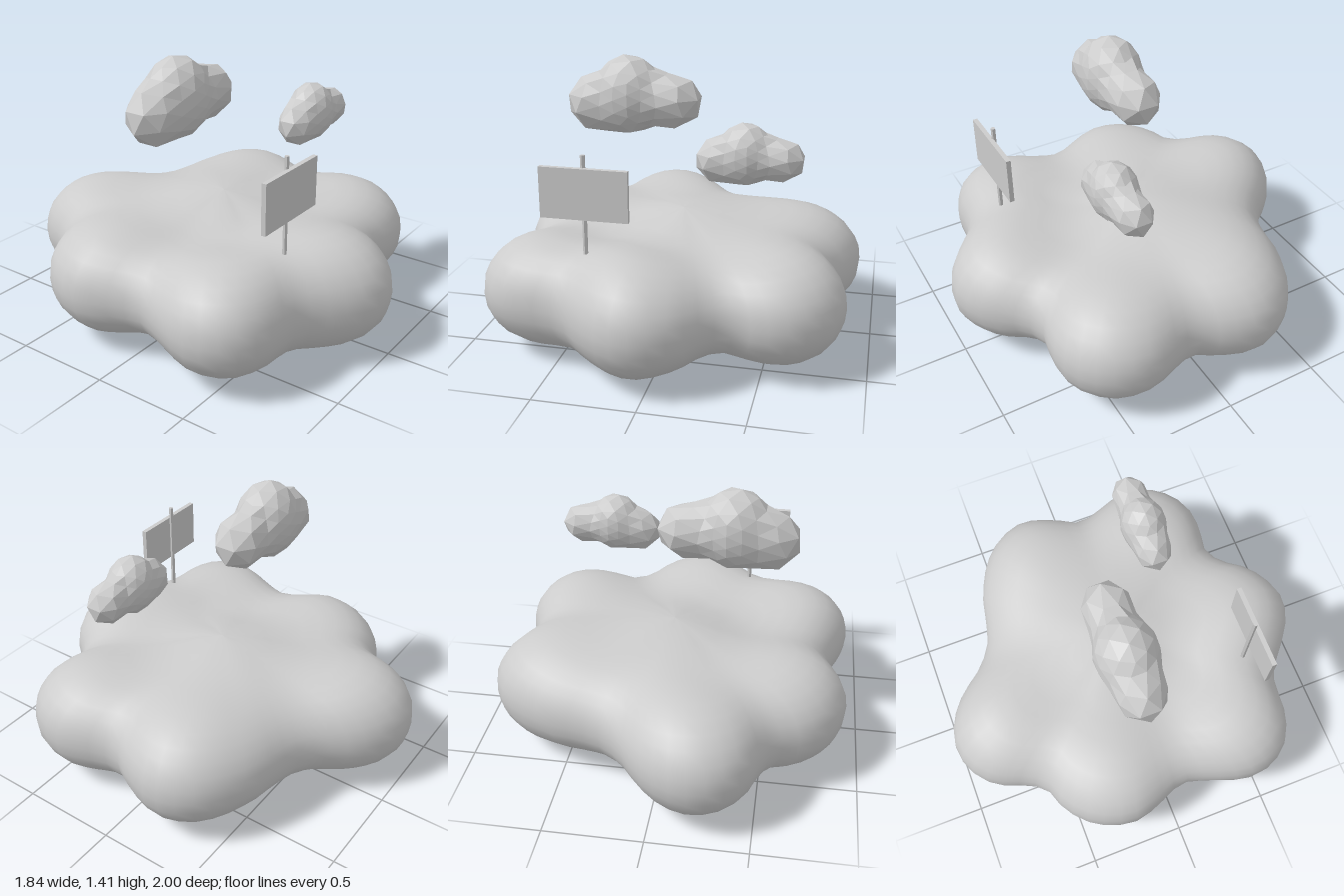
import * as THREE from 'three';

const grey = new THREE.MeshStandardMaterial({ color: 0xcccccc });
const facetedGrey = new THREE.MeshStandardMaterial({ color: 0xcccccc, flatShading: true });

// Plan outline of the cloud island: x, z pairs, from the back round by +x
const OUTLINE = [
  -0.2, -1, -0.08, -0.97, 0.05, -0.88, 0.17, -0.74, 0.28, -0.66, 0.43, -0.62,
  0.57, -0.59, 0.74, -0.51, 0.86, -0.4, 0.92, -0.24, 0.87, -0.05, 0.81, 0.07,
  0.82, 0.17, 0.87, 0.3, 0.885, 0.42, 0.84, 0.57, 0.74, 0.68, 0.62, 0.73,
  0.49, 0.73, 0.39, 0.71, 0.28, 0.77, 0.18, 0.89, 0.05, 0.975, -0.07, 1,
  -0.2, 0.96, -0.32, 0.87, -0.43, 0.78, -0.52, 0.75, -0.66, 0.74, -0.81, 0.68,
  -0.9, 0.56, -0.92, 0.42, -0.89, 0.31, -0.84, 0.17, -0.82, 0.07, -0.87, -0.06,
  -0.92, -0.23, -0.86, -0.43, -0.73, -0.56, -0.59, -0.62, -0.53, -0.71,
  -0.46, -0.87, -0.34, -0.97,
];

// Puffs that swell the island: x, z, strength (weak ones only fill hollows)
const PUFFS = [
  [-0.03, -0.03, 0.06], [-0.2, -0.72, 0.06], [-0.64, -0.24, 0.058], [-0.63, 0.44, 0.058],
  [-0.08, 0.68, 0.068], [0.59, 0.43, 0.06], [0.62, -0.25, 0.055],
  [0.2, -0.45, -0.05], [0.28, 0.1, -0.12],
];
const BLEND = 7.5;

// Squared half thickness of the blended puffs
function thickness2(x, z) {
  let sum = 0;
  for (const [px, pz, s] of PUFFS) sum += Math.exp(BLEND * (s - (x - px) ** 2 - (z - pz) ** 2));
  return Math.log(sum) / BLEND;
}

function islandGeometry(segments = 72, rings = 12) {
  const points = [];
  for (let i = 0; i < OUTLINE.length; i += 2) points.push(new THREE.Vector3(OUTLINE[i], 0, OUTLINE[i + 1]));
  const rim = new THREE.CatmullRomCurve3(points, true).getSpacedPoints(segments).slice(0, segments);

  // Radius at which the puffs run out in each direction
  const reach = rim.map((p) => {
    const d = p.clone().normalize();
    let r = 1.4;
    while (r > 0.2 && thickness2(d.x * r, d.z * r) < 0) r -= 0.002;
    return d.multiplyScalar(r);
  });

  const position = [];
  const index = [];
  const rows = rings * 2;
  for (let i = 0; i <= rows; i++) {
    const s = Math.sin((i / rows) * Math.PI);
    const side = Math.sign(rings - i);
    for (let j = 0; j < segments; j++) {
      const h = Math.sqrt(Math.max(0, thickness2(reach[j].x * s, reach[j].z * s)));
      position.push(rim[j].x * s, 0.31 + side * h, rim[j].z * s);
      if (i === rows) continue;
      const k = (j + 1) % segments;
      const a = i * segments + j, b = i * segments + k;
      const c = a + segments, d = b + segments;
      if (i > 0) index.push(a, b, c);
      if (i < rows - 1) index.push(b, d, c);
    }
  }
  const geometry = new THREE.BufferGeometry();
  geometry.setAttribute('position', new THREE.Float32BufferAttribute(position, 3));
  geometry.setIndex(index);
  geometry.computeVertexNormals();
  return geometry;
}

// Puffs of a floating cloud: x, y, then radii along x, y, z
const CLOUD_PUFFS = [
  [-0.03, 0.005, 0.175, 0.21, 0.16],
  [-0.2, -0.045, 0.162, 0.155, 0.13],
  [0.2, -0.02, 0.162, 0.145, 0.13],
];

function insideCloud(p) {
  let sum = 0;
  for (const [x, y, rx, ry, rz] of CLOUD_PUFFS) {
    sum += Math.exp(4 * (1 - ((p.x - x) / rx) ** 2 - ((p.y - y) / ry) ** 2 - (p.z / rz) ** 2));
  }
  return sum >= 1;
}

// Faceted ball whose corners are drawn in until they meet the blended puffs
function cloudGeometry() {
  const geometry = new THREE.IcosahedronGeometry(1, 2);
  const position = geometry.attributes.position;
  const dir = new THREE.Vector3();
  const p = new THREE.Vector3();
  for (let i = 0; i < position.count; i++) {
    dir.fromBufferAttribute(position, i);
    dir.x *= 1.3;
    dir.normalize();
    let r = 0.5;
    while (!insideCloud(p.copy(dir).multiplyScalar(r))) r -= 0.001;
    position.setXYZ(i, p.x, p.y, p.z);
  }
  geometry.computeVertexNormals();
  return geometry;
}

function addMesh(parent, name, geometry, material, x = 0, y = 0, z = 0) {
  const mesh = new THREE.Mesh(geometry, material);
  mesh.name = name;
  mesh.position.set(x, y, z);
  parent.add(mesh);
  return mesh;
}

export function createModel() {
  const model = new THREE.Group();
  model.name = 'cloudIsland';

  addMesh(model, 'island', islandGeometry(), grey);

  // Floating clouds
  const cloud = cloudGeometry();
  addMesh(model, 'largeCloud', cloud, facetedGrey, -0.275, 1.195, -0.06);
  addMesh(model, 'littleCloud', cloud, facetedGrey, 0.387, 1.015, 0.295).scale.setScalar(0.74);

  // Signpost
  const sign = new THREE.Group();
  sign.name = 'signpost';
  addMesh(sign, 'post', new THREE.CylinderGeometry(0.012, 0.012, 0.56, 6), facetedGrey, -0.345, 0.775, 0.597);
  addMesh(sign, 'board', new THREE.BoxGeometry(0.43, 0.25, 0.024), grey, -0.34, 0.87, 0.614);
  model.add(sign);

  return model;
}
